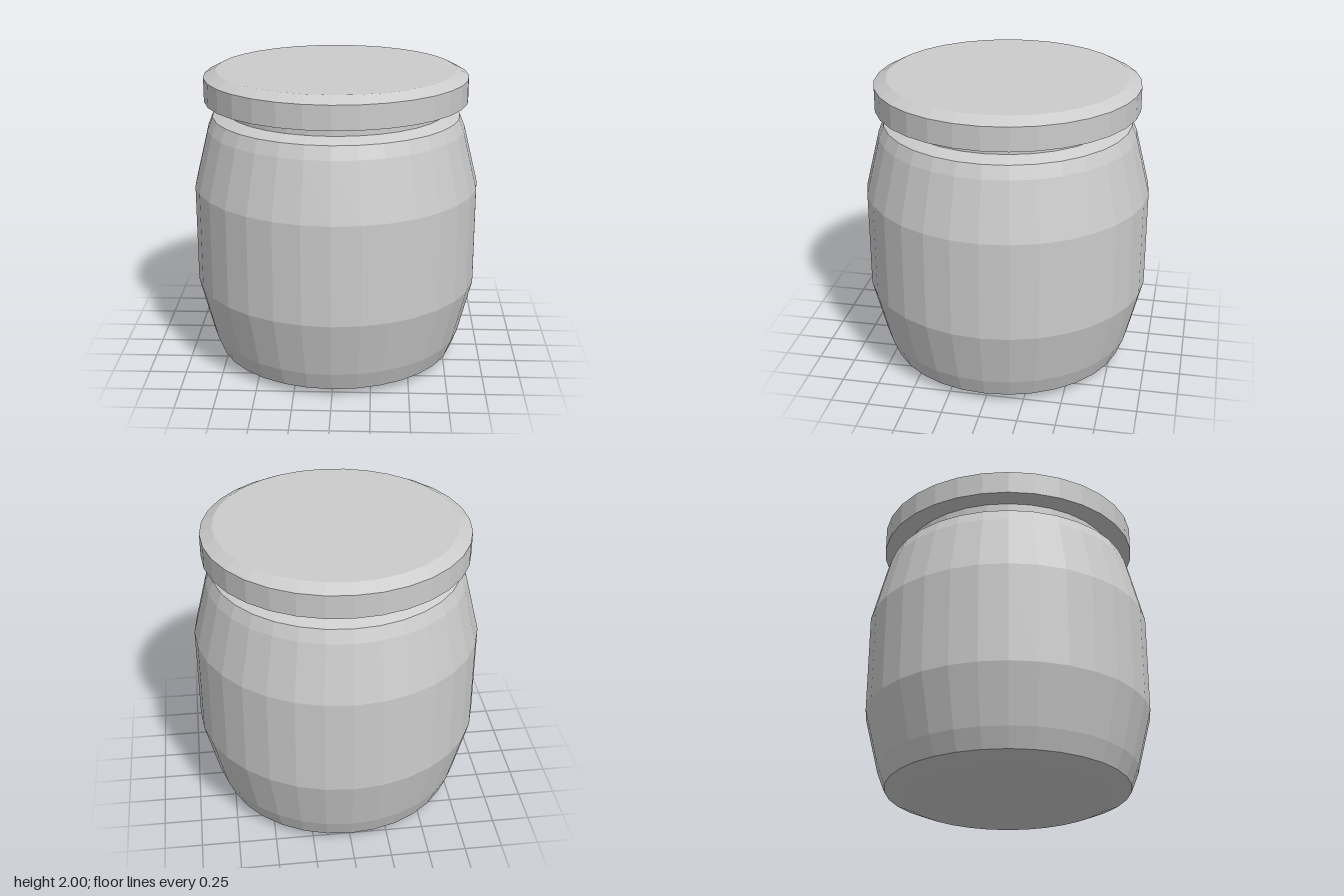
import * as THREE from 'three';

const SIDES = 32;

// Faceted solid of revolution from [radius, height] pairs, bottom to top
function turned(name, profile) {
  const points = profile.map(([r, y]) => new THREE.Vector2(r, y));
  const material = new THREE.MeshStandardMaterial({ color: 0xcccccc, flatShading: true });
  const mesh = new THREE.Mesh(new THREE.LatheGeometry(points, SIDES), material);
  mesh.name = name;
  return mesh;
}

export function createModel() {
  const jar = new THREE.Group();
  jar.name = 'jar';

  // Barrel-shaped body with bevelled foot and shoulder
  jar.add(turned('body', [
    [0, 0], [0.685, 0], [0.81, 0.053], [0.86, 0.18], [0.955, 0.56],
    [0.955, 1.225], [0.86, 1.61], [0.825, 1.695], [0.74, 1.73],
  ]));

  // Short recessed neck under the lid
  jar.add(turned('neck', [[0.74, 1.73], [0.74, 1.8]]));

  // Flat lid with a bevelled top edge
  jar.add(turned('lid', [
    [0, 1.8], [0.877, 1.8], [0.877, 1.957], [0.795, 2], [0, 2],
  ]));

  return jar;
}
